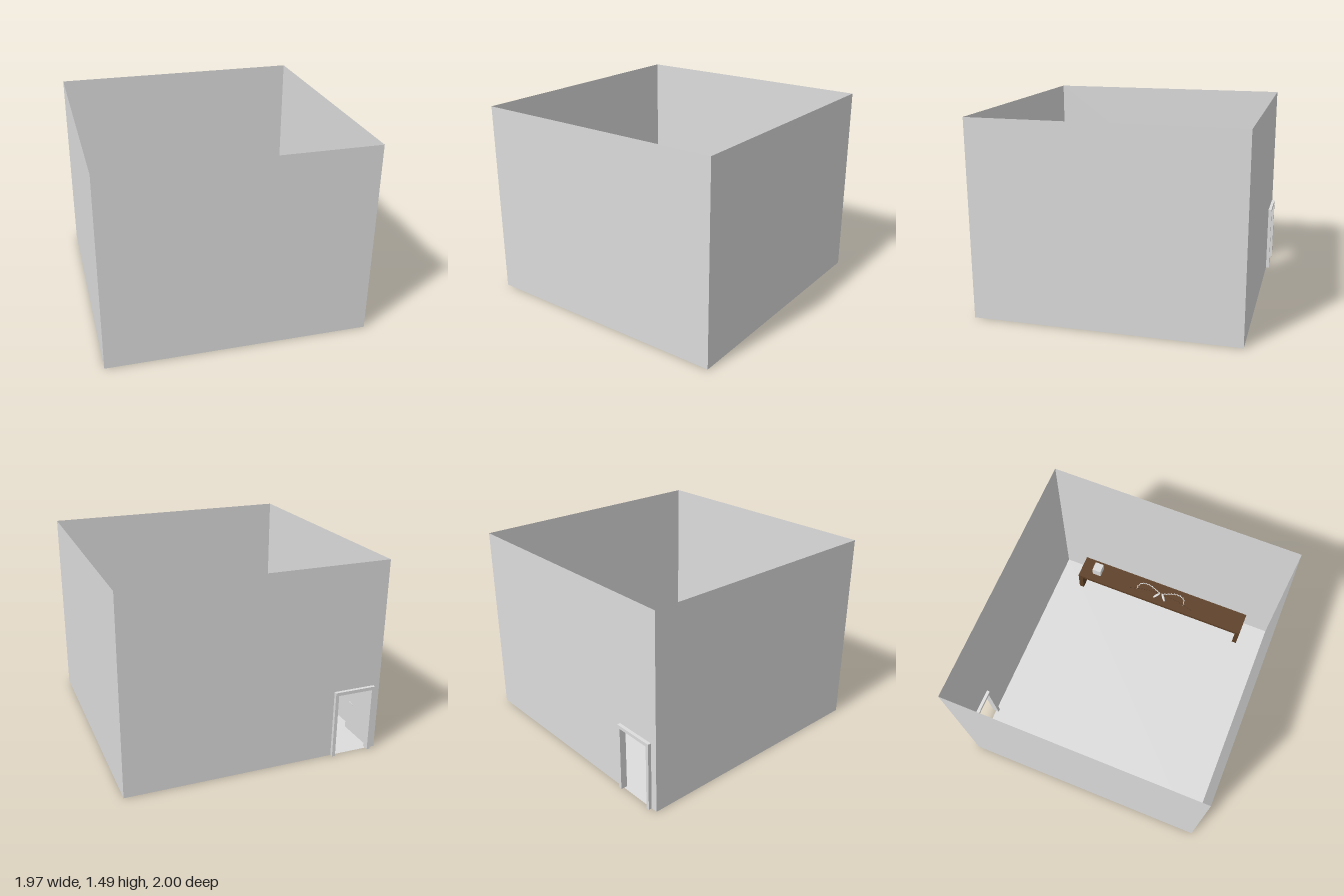
import * as THREE from 'three';

const plaster = new THREE.MeshStandardMaterial({ color: 0xdcdcdc, side: THREE.DoubleSide });
plaster.name = 'pale grey';
const wood = new THREE.MeshStandardMaterial({ color: 0x5e4027, side: THREE.DoubleSide });
wood.name = 'dark wood';

function add(parent, name, geometry, material) {
  const mesh = new THREE.Mesh(geometry, material);
  mesh.name = name;
  parent.add(mesh);
  return mesh;
}

// box given by its extents on each axis
function box(parent, name, [x0, x1], [y0, y1], [z0, z1], material) {
  const mesh = add(parent, name, new THREE.BoxGeometry(x1 - x0, y1 - y0, z1 - z0), material);
  mesh.position.set((x0 + x1) / 2, (y0 + y1) / 2, (z0 + z1) / 2);
  return mesh;
}

// outline in the x-y plane from a list of corners
const outline = (pts) => new THREE.Shape(pts.map(([x, y]) => new THREE.Vector2(x, y)));

export function createModel() {
  const model = new THREE.Group();
  model.name = 'room';
  const W = 0.985, H = 1.485, BACK = -0.975, FRONT = 1;
  const depth = FRONT - BACK, midZ = (FRONT + BACK) / 2;

  // thin room shell, open at the top
  const floor = add(model, 'floor', new THREE.PlaneGeometry(2 * W, depth).rotateX(-Math.PI / 2), plaster);
  floor.position.z = midZ;
  for (const s of [-1, 1]) {
    const wall = add(model, s > 0 ? 'leftWall' : 'rightWall',
      new THREE.PlaneGeometry(depth, H).rotateY(s * Math.PI / 2), plaster);
    wall.position.set(s * W, H / 2, midZ);
  }
  const front = add(model, 'frontWall', new THREE.PlaneGeometry(2 * W, H), plaster);
  front.position.set(0, H / 2, FRONT);

  // back wall, notched for the doorway
  const dx0 = -0.935, dx1 = -0.61, dTop = 0.525, jamb = 0.025;
  const back = add(model, 'backWall', new THREE.ShapeGeometry(outline([
    [-W, 0], [dx0 + 0.01, 0], [dx0 + 0.01, dTop - 0.01], [dx1 - 0.01, dTop - 0.01],
    [dx1 - 0.01, 0], [W, 0], [W, H], [-W, H],
  ])).rotateY(Math.PI).scale(-1, 1, 1), plaster);
  back.position.z = BACK;

  // door frame
  const frame = new THREE.ExtrudeGeometry(outline([
    [dx0, 0], [dx0 + jamb, 0], [dx0 + jamb, dTop - jamb], [dx1 - jamb, dTop - jamb],
    [dx1 - jamb, 0], [dx1, 0], [dx1, dTop], [dx0, dTop],
  ]), { depth: 0.05, bevelEnabled: false });
  add(model, 'doorFrame', frame, plaster).position.z = -1;

  // door leaf swung open into the room, with a lever handle on each face
  const door = new THREE.Group();
  door.name = 'door';
  model.add(door);
  box(door, 'doorLeaf', [-0.975, -0.932], [0.005, 0.5], [-0.95, -0.64], plaster);
  box(door, 'handleStem', [-0.932, -0.922], [0.243, 0.253], [-0.7, -0.69], plaster);
  box(door, 'handleLever', [-0.926, -0.92], [0.243, 0.253], [-0.74, -0.69], plaster);

  // long table against the left wall
  const table = new THREE.Group();
  table.name = 'table';
  model.add(table);
  const top = 0.22, tx = [0.772, 0.97];
  box(table, 'tableTop', tx, [top - 0.03, top], [-0.77, 0.785], wood);
  box(table, 'backLegPanel', tx, [0.001, top - 0.03], [-0.77, -0.73], wood);
  box(table, 'frontLegPanel', tx, [0.001, top - 0.03], [0.745, 0.785], wood);
  box(table, 'footSliver', [0.78, 0.91], [-0.002, 0.001], [-0.757, -0.745], wood);
  box(model, 'smallBox', [0.835, 0.915], [top, top + 0.08], [-0.655, -0.578], plaster);

  // curved ornament: thin bow, toothed arms and two pointed leaves
  const ornament = new THREE.Group();
  ornament.name = 'ornament';
  ornament.position.y = top + 0.012;
  model.add(ornament);
  const curve = (pts) => new THREE.CatmullRomCurve3(pts.map(([x, z]) => new THREE.Vector3(x, 0, z)));
  add(ornament, 'bow', new THREE.TubeGeometry(curve([
    [0.82, -0.31], [0.85, -0.19], [0.868, -0.07], [0.868, 0.07], [0.85, 0.2], [0.82, 0.325],
  ]), 32, 0.003, 6), wood);
  for (const s of [-1, 1]) {
    const path = curve([
      [0.868, 0], [0.89, 0.05 * s], [0.912, 0.11 * s], [0.916, 0.16 * s],
      [0.9, 0.205 * s], [0.865, 0.222 * s], [0.838, 0.222 * s],
    ]);
    add(ornament, 'arm', new THREE.TubeGeometry(path, 28, 0.003, 6), plaster);
    for (let i = 1; i < 20; i++) {
      const p = path.getPointAt(i / 20), t = path.getTangentAt(i / 20);
      const tooth = add(ornament, 'tooth', new THREE.ConeGeometry(0.004, 0.018, 4), plaster);
      tooth.position.copy(p);
      const side = i % 2 ? 1 : -1;
      tooth.quaternion.setFromUnitVectors(new THREE.Vector3(0, 1, 0),
        new THREE.Vector3(t.x - side * t.z, 0, t.z + side * t.x).normalize());
    }
    const leaf = add(ornament, 'leaf', new THREE.SphereGeometry(1, 10, 6), plaster);
    leaf.scale.set(0.042, 0.005, 0.011);
    leaf.position.set(0.845, 0, 0.032 * s);
    leaf.rotation.y = 0.62 * s;
  }
  return model;
}
